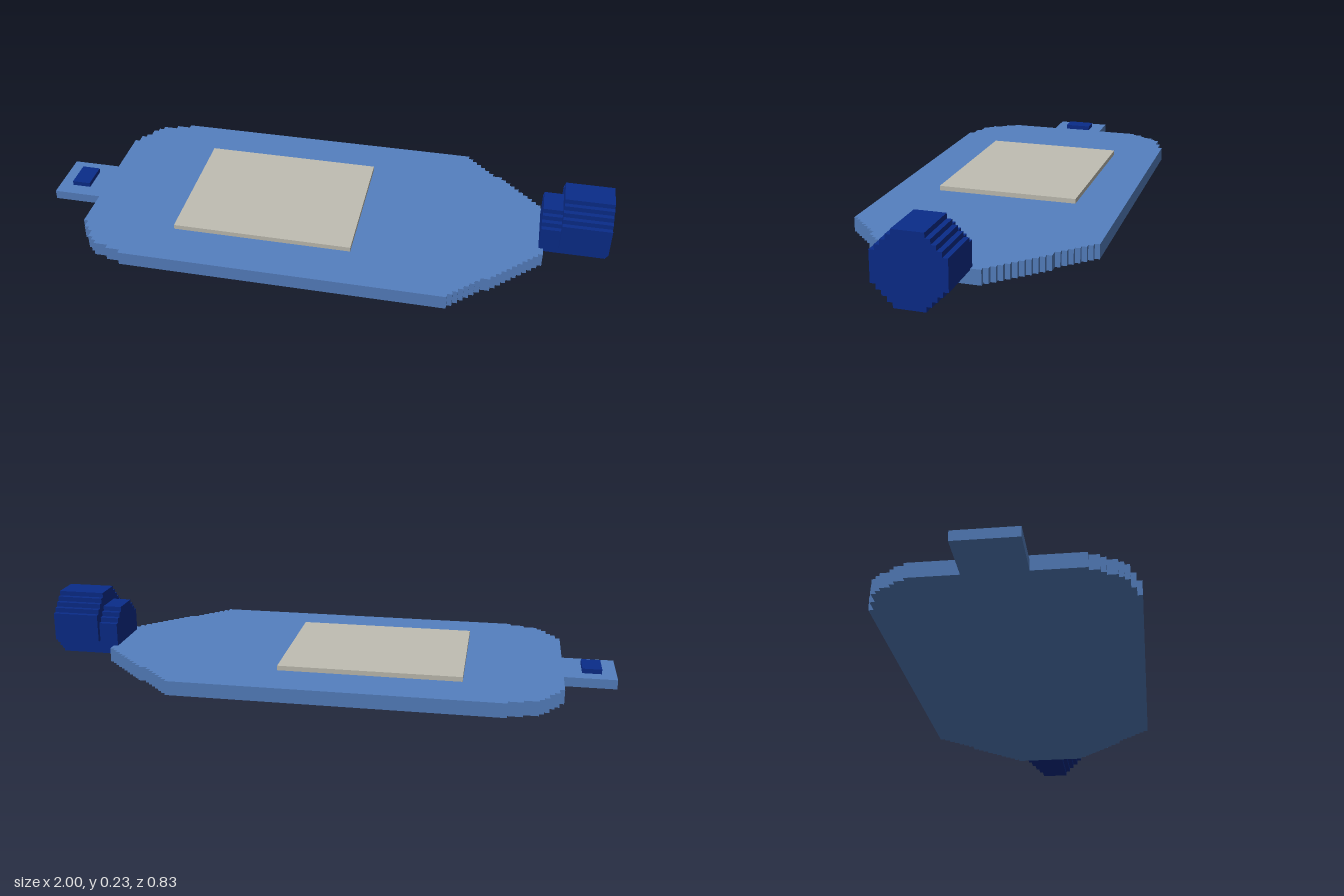
import * as THREE from 'three';

// One grid step; the model is 121 steps long
const U = 2 / 121;
const X0 = -1;

const blue = new THREE.MeshStandardMaterial({ color: 0x5580c0 });
blue.name = 'body blue';
const navy = new THREE.MeshStandardMaterial({ color: 0x0a2c8a });
navy.name = 'dark navy';
const grey = new THREE.MeshStandardMaterial({ color: 0xc0beb3 });
grey.name = 'label grey';

// Mirrored stair-step outline: halves[i] is the half-width of step i
function steppedShape(halves, start, upright) {
  const side = [];
  halves.forEach((h, i) => {
    if (i === 0 || halves[i - 1] !== h) side.push([start + i, h]);
    if (i === halves.length - 1 || halves[i + 1] !== h) side.push([start + i + 1, h]);
  });
  const mirrored = side.map(([t, h]) => [t, -h]).reverse();
  const points = [...side, ...mirrored].map(([t, h]) =>
    upright ? new THREE.Vector2(h * U, t * U) : new THREE.Vector2(X0 + t * U, h * U));
  return new THREE.Shape(points);
}

function extrude(shape, steps) {
  return new THREE.ExtrudeGeometry(shape, { depth: steps * U, bevelEnabled: false });
}

function add(group, name, geometry, material) {
  const mesh = new THREE.Mesh(geometry, material);
  mesh.name = name;
  group.add(mesh);
  return mesh;
}

// Box given in grid steps, centred on z
function block(group, name, x1, x2, y1, y2, halfZ, material) {
  const geo = new THREE.BoxGeometry((x2 - x1) * U, (y2 - y1) * U, 2 * halfZ * U);
  geo.translate(X0 + (x1 + x2) / 2 * U, (y1 + y2) / 2 * U, 0);
  add(group, name, geo, material);
}

// Stepped round section running along x
function barrel(group, name, rows, firstRow, x1, x2) {
  const geo = extrude(steppedShape(rows, firstRow, true), x2 - x1);
  geo.rotateY(Math.PI / 2);
  geo.translate(X0 + x1 * U, 0, 0);
  add(group, name, geo, navy);
}

export function createModel() {
  const model = new THREE.Group();
  model.name = 'flatPouch';

  // Flat body: rounded left corners, straight middle, tapered right shoulders
  const halves = [16, 18, 19, 21, 22, 23, 23, 23, 24, 24, 24];
  for (let x = 22; x < 90; x++) halves.push(25);
  for (let x = 90; x < 108; x++) halves.push(x < 97 ? 114 - x : 115 - x);
  const body = extrude(steppedShape(halves, 11, false), 3);
  body.rotateX(-Math.PI / 2);
  add(model, 'body', body, blue);

  // Label plate on the top face
  block(model, 'label', 31, 69, 3, 4, 15, grey);

  // Hanging tab with its dark slot
  block(model, 'tab', 0, 11, 0, 2, 6, blue);
  block(model, 'tabSlot', 3, 7, 2, 3, 3, navy);

  // Neck, starting above the body surface, then the larger cap
  const neck = [3, 4, 5, 6, 6, 6, 6, 6, 5, 4, 3];
  barrel(model, 'neckBase', neck.slice(3), 3, 107, 108);
  barrel(model, 'neck', neck, 0, 108, 111);
  barrel(model, 'cap', [3, 4, 5, 6, 7, 7, 7, 7, 7, 7, 6, 5, 4, 3], 0, 111, 121);

  return model;
}
